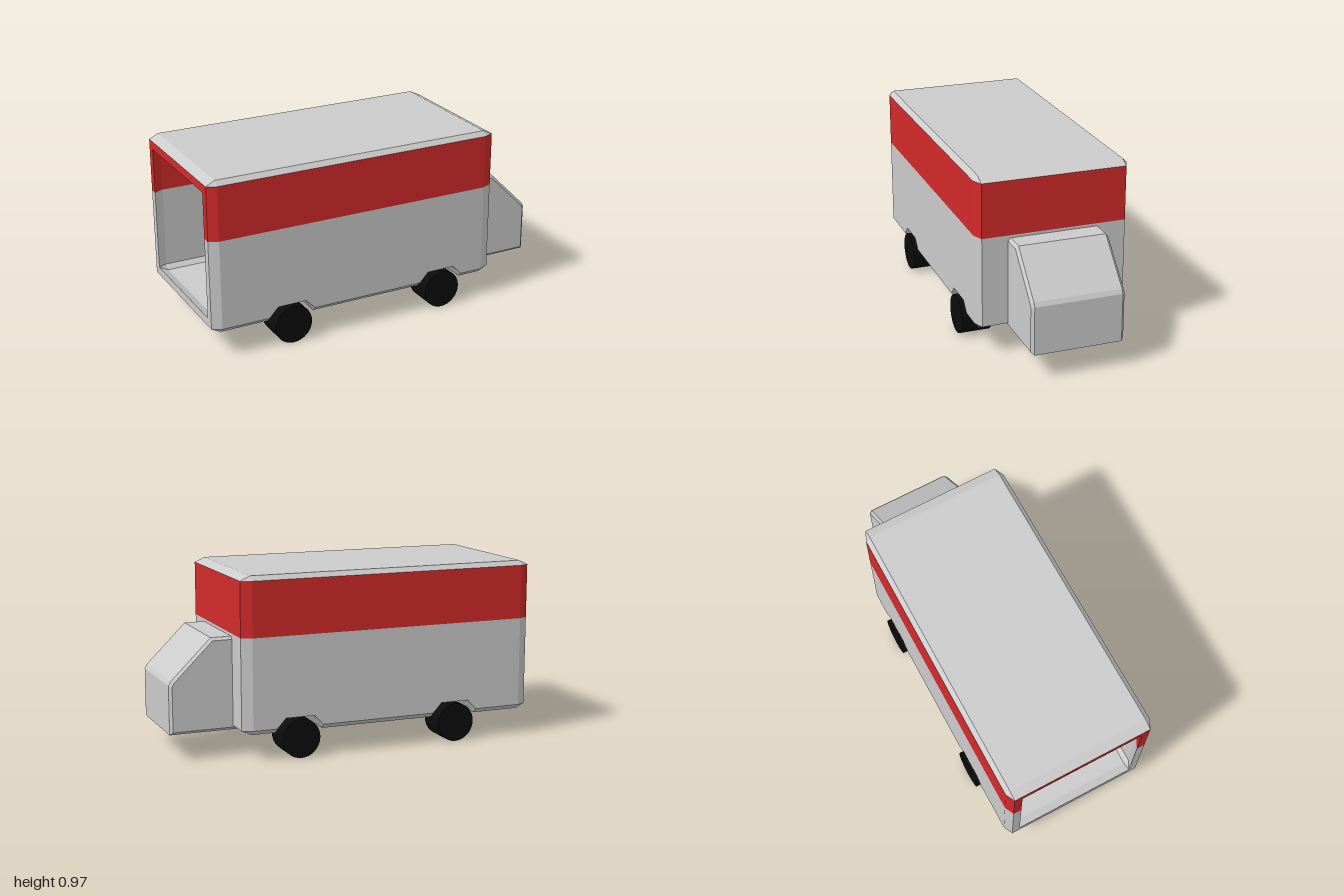
import * as THREE from 'three';

const grey = new THREE.MeshStandardMaterial({ color: 0xcccccc, flatShading: true, side: THREE.DoubleSide });
const red = new THREE.MeshStandardMaterial({ color: 0xd42a2a, flatShading: true, side: THREE.DoubleSide });
const black = new THREE.MeshStandardMaterial({ color: 0x0c0c0c });

const WHEEL_X = [-0.555, 0.345];
const WALL = 0.045;
const BAND_Y = 0.652;

// Cross-section of the van box at x: chamfered rectangle, inset by t; ends lose their chamfer
function ring(x, floorY, t, isEnd) {
  const zi = 0.39 - t, zo = isEnd ? zi : 0.415 - t;
  const side = Math.max(0.165 + t, floorY + t + 0.003);
  const base = isEnd ? side : floorY + t;
  const eave = 0.945 - t, top = isEnd ? eave : 0.97 - t;
  const half = [[zi, base], [zo, side], [zo, BAND_Y], [zo, eave], [zi, top]];
  const other = half.map(([z, y]) => [-z, y]).reverse();
  const loop = [other[4], ...half, ...other.slice(0, 4)];
  return loop.map(([z, y]) => [x, y, z]);
}

// All cross-sections along the box, rising over the two wheel tunnels
function rings(t) {
  const stations = [[-1, 0.14, true], [-0.95, 0.14]];
  for (const cx of WHEEL_X) {
    stations.push([cx - 0.13, 0.14], [cx - 0.08, 0.215], [cx + 0.08, 0.215], [cx + 0.13, 0.14]);
  }
  stations.push([0.605 - t, 0.14], [0.66 - t, 0.14, true]);
  return stations.map(([x, y, end]) => ring(x, y, t, !!end));
}

function makeBody() {
  const faces = { grey: [], red: [] };
  const quad = (isRed, a, b, c, d, flip) => {
    const order = flip ? [a, c, b, a, d, c] : [a, b, c, a, c, d];
    for (const p of order) faces[isRed ? 'red' : 'grey'].push(...p);
  };
  const shell = (rs, flip) => {
    for (let i = 0; i < rs.length - 1; i++) {
      for (let j = 0; j < 10; j++) {
        const k = (j + 1) % 10;
        quad(j === 3 || j === 7, rs[i][j], rs[i + 1][j], rs[i + 1][k], rs[i][k], flip);
      }
    }
    // Closed wall behind the cab
    const e = rs[rs.length - 1];
    quad(false, e[9], e[8], e[3], e[2], flip);
    quad(true, e[8], e[7], e[4], e[3], flip);
  };
  const outer = rings(0), inner = rings(WALL);
  shell(outer, false);
  shell(inner, true);
  // Rim around the open rear
  for (let j = 0; j < 10; j++) {
    const k = (j + 1) % 10;
    quad(j >= 3 && j <= 7, outer[0][j], outer[0][k], inner[0][k], inner[0][j], false);
  }
  const body = new THREE.Group();
  body.name = 'cargoBox';
  for (const [key, name, material] of [['grey', 'boxShell', grey], ['red', 'colourBand', red]]) {
    const geometry = new THREE.BufferGeometry();
    geometry.setAttribute('position', new THREE.Float32BufferAttribute(faces[key], 3));
    geometry.computeVertexNormals();
    const mesh = new THREE.Mesh(geometry, material);
    mesh.name = name;
    body.add(mesh);
  }
  return body;
}

// Cab: side profile with a sloped windscreen and a narrow bevel on its sides
function makeCab() {
  const bevel = 0.015;
  const profile = [[0.645, 0.155], [0.985, 0.155], [0.985, 0.397], [0.975, 0.415], [0.765, 0.622], [0.645, 0.622]];
  const shape = new THREE.Shape(profile.map(([x, y]) => new THREE.Vector2(x, y)));
  const geometry = new THREE.ExtrudeGeometry(shape, {
    depth: 0.47, bevelEnabled: true, bevelSize: bevel, bevelThickness: bevel, bevelSegments: 1,
  });
  geometry.translate(0, 0, -0.235);
  const cab = new THREE.Mesh(geometry, grey);
  cab.name = 'cab';
  return cab;
}

export function createModel() {
  const model = new THREE.Group();
  model.name = 'van';
  model.add(makeBody(), makeCab());

  // Four wheels
  const wheelGeometry = new THREE.CylinderGeometry(0.105, 0.105, 0.165, 32).rotateX(Math.PI / 2);
  WHEEL_X.forEach((x, i) => {
    for (const s of [1, -1]) {
      const wheel = new THREE.Mesh(wheelGeometry, black);
      wheel.name = i ? 'frontWheel' : 'rearWheel';
      wheel.position.set(x, 0.105, s * 0.3475);
      model.add(wheel);
    }
  });
  return model;
}
